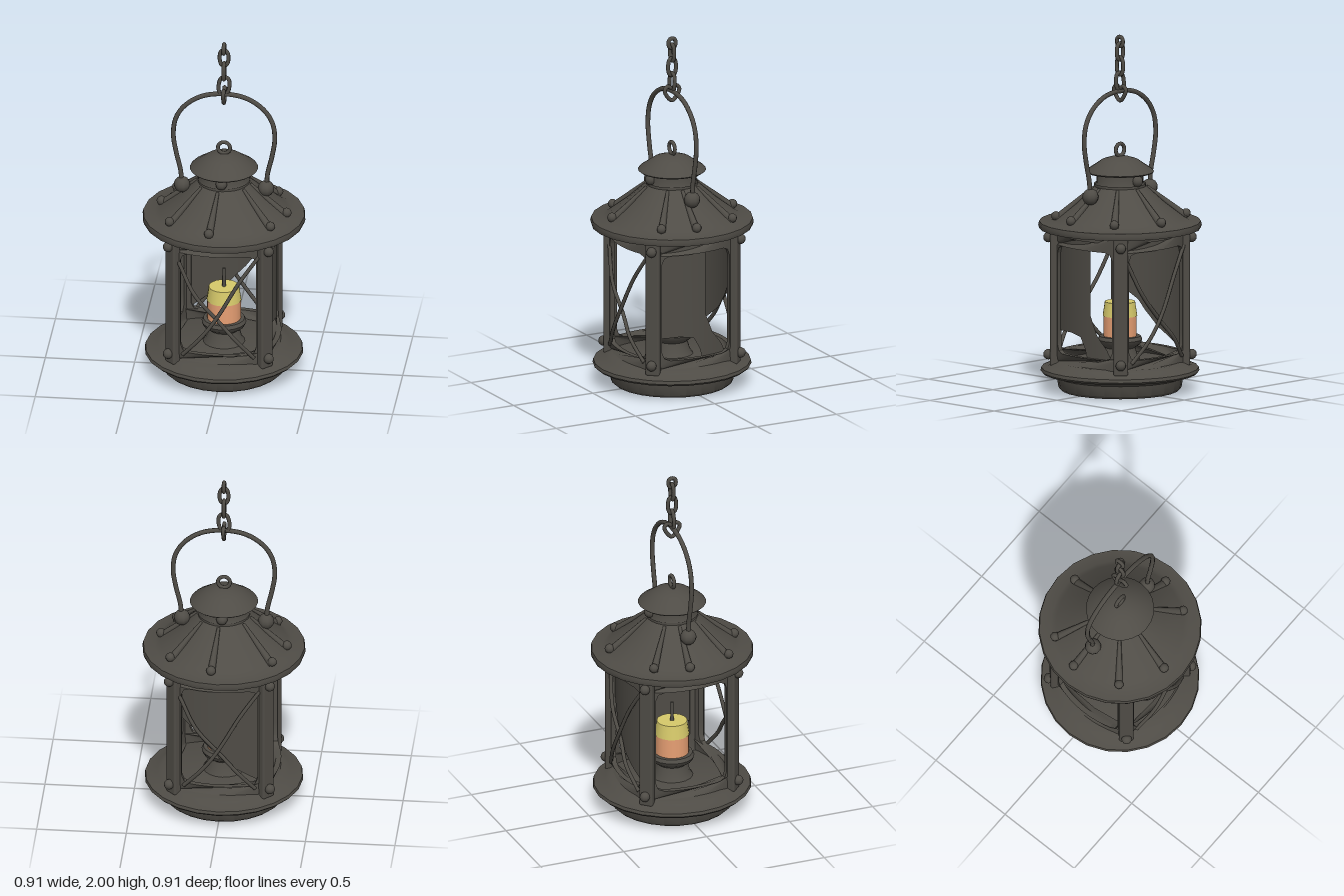
import * as THREE from 'three';
import { toCreasedNormals } from 'three/addons/utils/BufferGeometryUtils.js';
import { RoundedBoxGeometry } from 'three/addons/geometries/RoundedBoxGeometry.js';

const mat = (name, color, extra = {}) => {
  const m = new THREE.MeshStandardMaterial({ color, ...extra });
  m.name = name;
  return m;
};
const V2 = (p) => new THREE.Vector2(p[0], p[1]);
const V3 = (p) => new THREE.Vector3(...p);

export function createModel() {
  const group = new THREE.Group();
  const iron = mat('dark iron', 0x4f4c46, { side: THREE.DoubleSide });
  const wax = mat('orange wax', 0xe8a074);
  const glow = mat('yellow wax', 0xd6c96a);

  const add = (name, geo, pos = [0, 0, 0], parent = group, material = iron) => {
    const m = new THREE.Mesh(geo, material);
    m.name = name;
    m.position.set(...pos);
    parent.add(m);
    return m;
  };
  const lathe = (name, pts, seg = 24) =>
    add(name, toCreasedNormals(new THREE.LatheGeometry(pts.map(V2), seg), 0.7));
  const tube = (name, pts, r, parent = group, closed = false, seg = 32) =>
    add(name, new THREE.TubeGeometry(new THREE.CatmullRomCurve3(pts.map(V3), closed), seg, r, 7, closed), [0, 0, 0], parent);
  const knob = (name, r, pos) => add(name, new THREE.SphereGeometry(r, 10, 8), pos);

  // Base dish
  lathe('base', [[0, 0], [0.325, 0], [0.342, 0.015], [0.352, 0.075], [0.375, 0.092], [0.43, 0.098],
    [0.442, 0.11], [0.438, 0.128], [0.40, 0.137], [0.37, 0.152], [0.34, 0.165], [0, 0.165]]);

  // Roof: flange, cone, collar and domed cap
  lathe('roof', [[0, 0.915], [0.38, 0.91], [0.45, 0.914], [0.455, 0.932], [0.45, 0.952], [0.385, 0.957],
    [0.355, 0.975], [0.25, 1.055], [0.145, 1.15], [0.145, 1.165]]);
  lathe('collar', [[0.145, 1.15], [0.132, 1.17], [0.132, 1.235]]);
  lathe('cap', [[0, 1.225], [0.18, 1.224], [0.19, 1.232], [0.18, 1.244], [0.14, 1.27], [0.10, 1.298], [0.05, 1.314], [0, 1.32]]);
  lathe('eave', [[0.29, 0.91], [0.315, 0.91], [0.315, 0.875], [0.29, 0.875], [0.29, 0.91]]);

  // Roof ribs ending in knobs
  const knobs = [[0.04, -0.36], [0.28, -0.23], [0.355, 0.035], [0.285, 0.22],
    [-0.045, 0.355], [-0.28, 0.225], [-0.355, -0.04], [-0.29, -0.23]];
  knobs.forEach(([x, z], i) => {
    const k = 0.15 / Math.hypot(x, z);
    const a = V3([x, 0.968, z]);
    const b = V3([x * k, 1.145, z * k]);
    const rib = add('roofRib', new THREE.CylinderGeometry(0.009, 0.023, a.distanceTo(b), 8));
    rib.position.copy(a).add(b).multiplyScalar(0.5);
    rib.quaternion.setFromUnitVectors(V3([0, 1, 0]), b.sub(a).normalize());
    knob('roofKnob', i % 2 ? 0.026 : 0.027, [x, 0.988, z]);
  });
  for (const s of [-1, 1]) {
    knob('collarKnob', 0.032, [0, 1.19, s * 0.135]);
    knob('handleKnob', 0.046, [s * 0.235, 1.115, 0]);
  }

  // Cap ring, carrying handle and chain
  add('capRing', new THREE.TorusGeometry(0.034, 0.011, 8, 18), [0, 1.353, 0]);
  const arc = [[0.238, 1.12], [0.243, 1.2], [0.268, 1.31], [0.284, 1.42], [0.27, 1.52], [0.22, 1.6], [0.125, 1.664]];
  tube('handle', [...arc.map(([x, y]) => [-x, y, 0]), [0, 1.685, 0],
    ...arc.slice().reverse().map(([x, y]) => [x, y, 0])], 0.0135, group, false, 56);

  const link = (y0, y1, w, sideways, tilt = 0) => {
    const h = (y1 - y0) / 2 - 0.011;
    const pts = [[w, h * 0.45], [w * 0.6, h * 0.9], [0, h], [-w * 0.6, h * 0.9], [-w, h * 0.45],
      [-w, -h * 0.45], [-w * 0.6, -h * 0.9], [0, -h], [w * 0.6, -h * 0.9], [w, -h * 0.45]];
    const m = tube('chainLink', pts.map(([x, y]) => [x, y, 0]), 0.0115, group, true, 28);
    m.position.y = (y0 + y1) / 2;
    m.rotation.set(0, sideways ? Math.PI / 2 : 0, tilt);
  };
  link(1.925, 2.0, 0.021, true);
  link(1.85, 1.965, 0.023, false);
  link(1.765, 1.885, 0.023, true);
  link(1.67, 1.80, 0.028, false, -0.12);
  tube('heartLink', [[0, 1.63, 0], [0, 1.66, 0.033], [0, 1.695, 0.046], [0, 1.714, 0.026],
    [0, 1.70, 0], [0, 1.714, -0.026], [0, 1.695, -0.046], [0, 1.66, -0.033]], 0.0115, group, true, 36);

  // Corner posts with rivets
  for (let i = 0; i < 4; i++) {
    const a = Math.PI / 4 + i * Math.PI / 2;
    const at = (r, y) => [Math.sin(a) * r, y, Math.cos(a) * r];
    add('post', new RoundedBoxGeometry(0.08, 0.785, 0.05, 2, 0.012), at(0.365, 0.53)).rotation.y = a;
    for (const y of [0.2, 0.86]) knob('postRivet', 0.029, at(0.398, y));
  }

  // Bowed side frames
  const depth = (u) => 0.288 - 0.87 * u * u;
  const split = (pts, n) => pts.flatMap((p, i) => {
    const q = pts[(i + 1) % pts.length];
    return Array.from({ length: n }, (_, k) => V2(p).lerp(V2(q), k / n));
  });
  const frameShape = new THREE.Shape(split([[-0.26, 0.16], [0.26, 0.16], [0.26, 0.9], [-0.26, 0.9]], 10));
  const w = 0.212, lo = 0.218, hi = 0.825, c = 0.045, e = 0.013;
  frameShape.holes.push(new THREE.Path(split([[-w + c, lo], [-w + e, lo + e], [-w, lo + c],
    [-w, hi - c], [-w + e, hi - e], [-w + c, hi], [w - c, hi], [w - e, hi - e], [w, hi - c],
    [w, lo + c], [w - e, lo + e], [w - c, lo]], 6)));
  let frameGeo = new THREE.ExtrudeGeometry(frameShape, { depth: 0.03, bevelEnabled: false });
  const fp = frameGeo.attributes.position;
  for (let i = 0; i < fp.count; i++) fp.setZ(i, fp.getZ(i) + depth(fp.getX(i)));
  frameGeo.computeVertexNormals();
  frameGeo = toCreasedNormals(frameGeo, 0.6);

  // Broken pane from columns of [offset, bottom, top]
  const paneGeometry = (cols) => {
    const pos = [], idx = [];
    cols.forEach((a, i) => {
      const b = cols[i + 1];
      for (let k = 0; k < (b ? 4 : 1); k++) {
        const [u, y0, y1] = b ? a.map((v, j) => v + (b[j] - v) * k / 4) : a;
        pos.push(u, y0, depth(u) + 0.006, u, y1, depth(u) + 0.006);
      }
    });
    for (let i = 0; i < pos.length / 3 - 2; i += 2) idx.push(i, i + 2, i + 1, i + 1, i + 2, i + 3);
    const g = new THREE.BufferGeometry();
    g.setAttribute('position', new THREE.Float32BufferAttribute(pos, 3));
    g.setIndex(idx);
    g.computeVertexNormals();
    return g;
  };
  const panes = {
    1: [[-0.24, 0.34, 0.88], [-0.1, 0.345, 0.88], [-0.02, 0.33, 0.88], [0.015, 0.27, 0.88], [0.03, 0.22, 0.88],
      [0.054, 0.2, 0.88], [0.055, 0.2, 0.46], [0.1, 0.2, 0.35], [0.165, 0.2, 0.27], [0.19, 0.2, 0.22]],
    2: [[-0.24, 0.64, 0.88], [-0.2, 0.61, 0.88], [-0.14, 0.56, 0.88], [-0.09, 0.49, 0.88],
      [0, 0.39, 0.88], [0.11, 0.31, 0.88], [0.2, 0.25, 0.88], [0.24, 0.22, 0.88]],
  };

  for (let i = 0; i < 4; i++) {
    const side = new THREE.Group();
    side.name = 'sidePanel';
    side.rotation.y = i * Math.PI / 2;
    group.add(side);
    add('sideFrame', frameGeo, [0, 0, 0], side);
    if (panes[i]) add('brokenPane', paneGeometry(panes[i]), [0, 0, 0], side);
    // Crossed guard wires, front and back only
    if (i % 2 === 0) {
      tube('guardWire', [[0.225, 0.82, 0.275], [0.12, 0.67, 0.305], [0, 0.46, 0.325], [-0.09, 0.33, 0.32], [-0.2, 0.2, 0.285]], 0.011, side);
      tube('guardWire', [[-0.225, 0.77, 0.275], [-0.13, 0.58, 0.305], [0, 0.43, 0.308], [0.1, 0.32, 0.318], [0.2, 0.2, 0.285]], 0.011, side);
    }
  }

  // Candle on its holder
  lathe('candleHolder', [[0, 0.16], [0.12, 0.16], [0.1, 0.19], [0.085, 0.24], [0.115, 0.262], [0.125, 0.285], [0.115, 0.305], [0, 0.305]], 20);
  add('candleBody', new THREE.CylinderGeometry(0.094, 0.094, 0.12, 20), [0, 0.36, 0], group, wax);
  add('candleTop', new THREE.CylinderGeometry(0.085, 0.097, 0.08, 20), [0, 0.458, 0], group, glow);
  add('wick', new THREE.CylinderGeometry(0.009, 0.011, 0.12, 8), [0, 0.55, 0]);

  return group;
}
